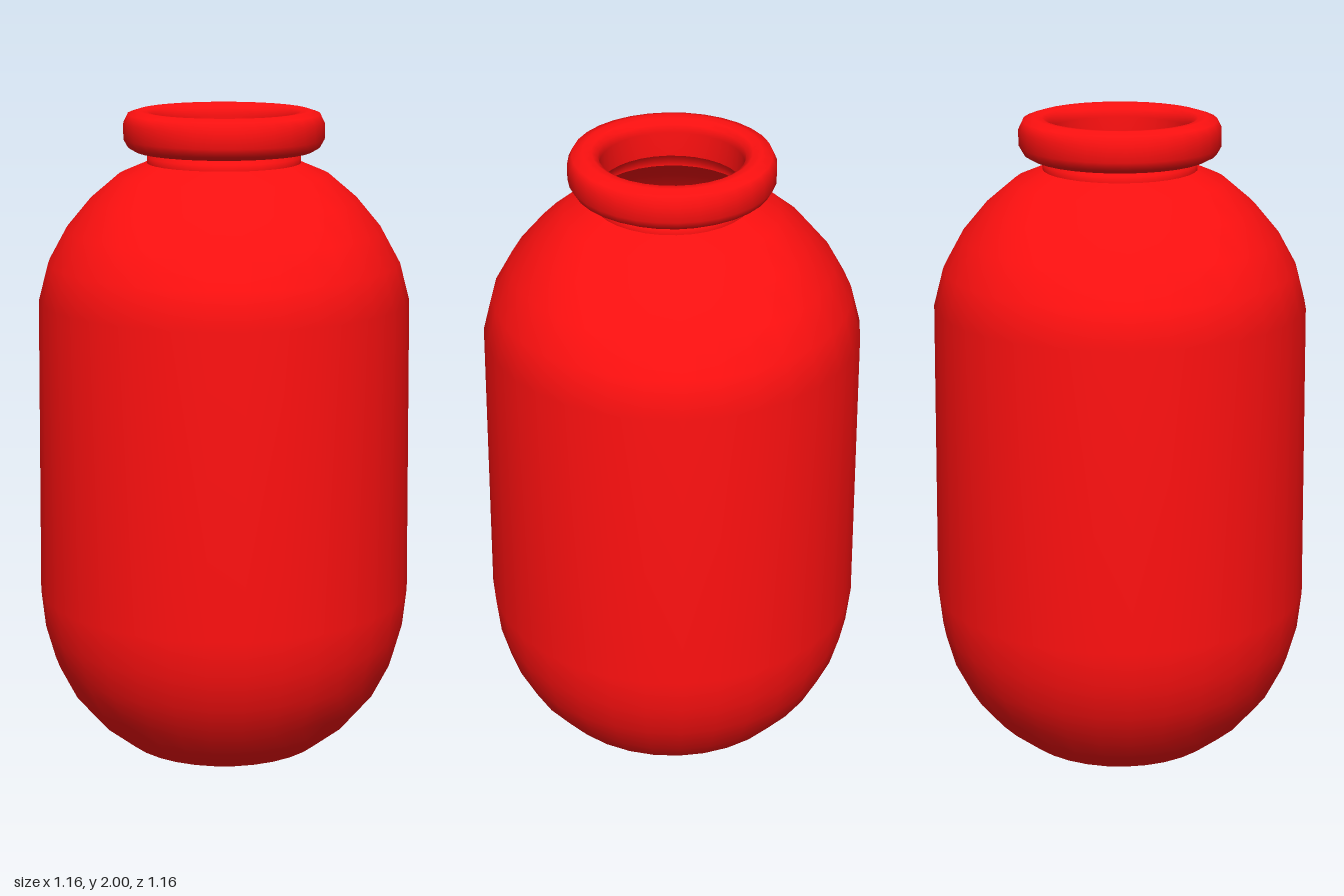
import * as THREE from 'three';

const SIDES = 32;

export function createModel() {
  const group = new THREE.Group();
  const red = new THREE.MeshStandardMaterial({ color: 0xff1010, side: THREE.DoubleSide });

  // Turn a profile of [radius, height] pairs around the y axis
  const turn = (name, profile) => {
    const points = profile.map(([r, y]) => new THREE.Vector2(r, y));
    const mesh = new THREE.Mesh(new THREE.LatheGeometry(points, SIDES), red);
    mesh.name = name;
    group.add(mesh);
  };

  // Flat base
  turn('base', [[0, 0], [0.25, 0], [0.32, 0.008]]);

  // Hollow body with rounded bottom and shoulder
  turn('body', [
    [0.32, 0.008], [0.41, 0.08], [0.485, 0.17], [0.538, 0.275], [0.567, 0.38], [0.58, 0.5],
    [0.57, 1.425], [0.54, 1.54], [0.485, 1.64], [0.41, 1.73], [0.322, 1.805], [0.235, 1.842],
  ]);

  // Short neck
  turn('neck', [[0.235, 1.842], [0.235, 1.86], [0.215, 1.885]]);

  // Rounded lip, open in the middle
  turn('lip', [
    [0.212, 1.885], [0.27, 1.878], [0.292, 1.89], [0.306, 1.915], [0.306, 1.963],
    [0.293, 1.99], [0.262, 2], [0.235, 1.997], [0.216, 1.985], [0.212, 1.96], [0.212, 1.885],
  ]);

  return group;
}
